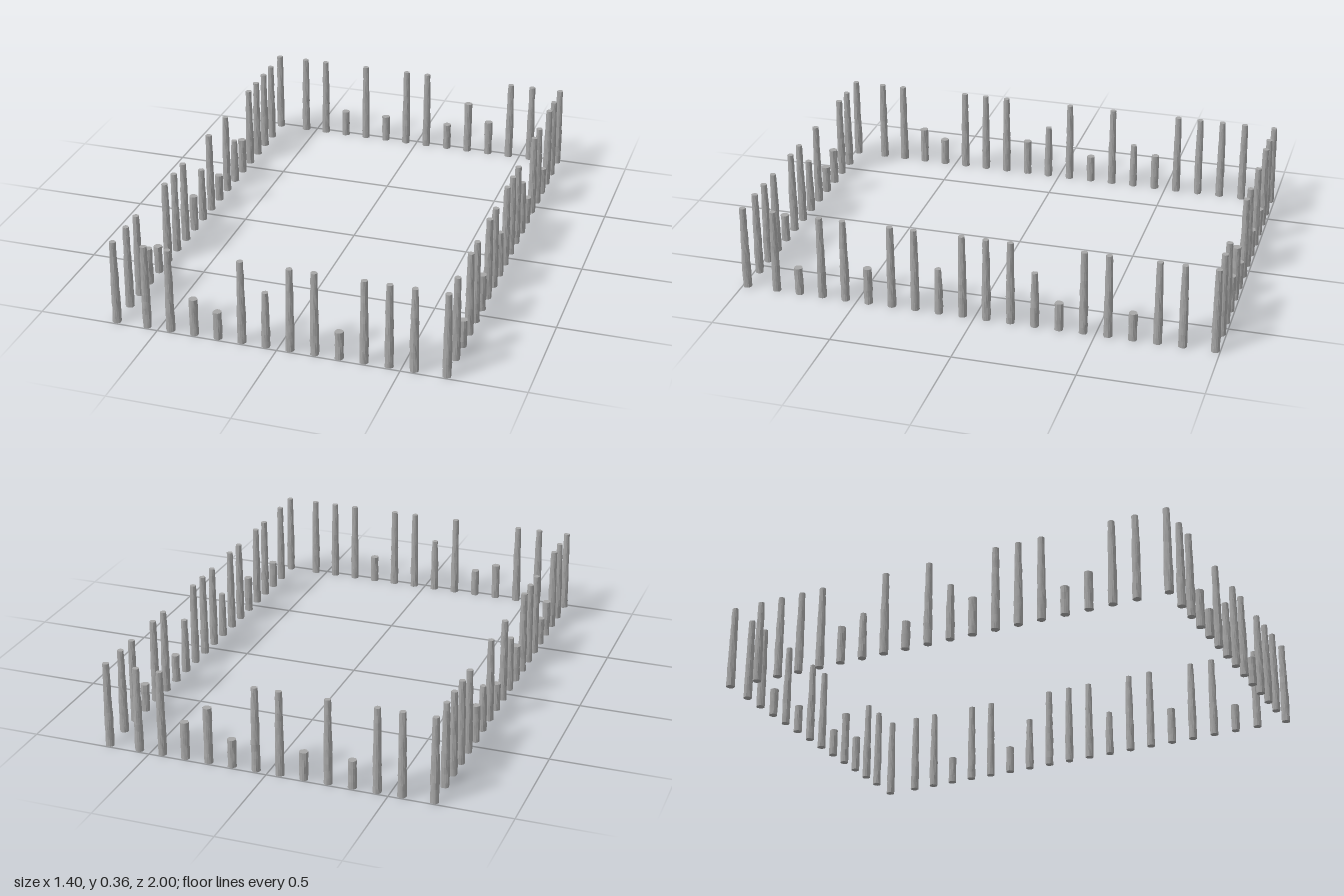
import * as THREE from 'three';

const R = 0.0185;          // stake radius
const TALL = 0.36;
const HALF_X = 0.68, HALF_Z = 0.98;
const SIDES = 14;

// Repeatable noise from 0 to 1
function noise(a, b, c) {
  const s = Math.sin(a * 12.9898 + b * 78.233 + c * 37.719) * 43758.5453;
  return s - Math.floor(s);
}

// Closed stake with rough bark; whole stakes narrow towards the top, cut ones stay straight
function stakeGeometry(height, tapered, seed) {
  const top = tapered ? 0.0138 : R;
  const rings = Math.max(4, Math.round(height / 0.03));
  const profile = [new THREE.Vector2(0, 0)];
  for (let i = 0; i <= rings; i++) {
    const t = i / rings;
    const r = THREE.MathUtils.lerp(R, top, Math.max(0, (t - 0.3) / 0.7));
    profile.push(new THREE.Vector2(r, t * height));
  }
  profile.push(new THREE.Vector2(0, height));
  const geometry = new THREE.LatheGeometry(profile, SIDES);

  // Bark: shallow grooves pushed in along the sides
  const p = geometry.attributes.position;
  const count = profile.length;
  for (let i = 0; i < p.count; i++) {
    const ring = i % count, side = Math.floor(i / count) % SIDES;
    const groove = 1.03 - 0.17 * noise(ring, side, seed);
    p.setX(i, p.getX(i) * groove);
    p.setZ(i, p.getZ(i) * groove);
  }
  geometry.computeVertexNormals();
  return geometry;
}

// Evenly spaced stake positions between two corner stakes
function spots(half, inner) {
  const list = [-half];
  for (let v = -inner; v < inner + 0.01; v += 0.1) list.push(v);
  list.push(half);
  return list;
}

export function createModel() {
  const model = new THREE.Group();
  const material = new THREE.MeshStandardMaterial({ color: 0xa6a6a6, flatShading: true });

  // Broken stakes by position in hundredths: straight stumps and shorter tapered stakes
  const rows = [
    { name: 'frontRow', z: HALF_Z, stumps: { '-35': 0.16, '-25': 0.12, 25: 0.12 }, short: { '-5': 0.24 } },
    { name: 'backRow', z: -HALF_Z, stumps: { '-35': 0.12, '-15': 0.12, 15: 0.12, 25: 0.24, 35: 0.16 }, short: {} },
    { name: 'leftRow', x: HALF_X, stumps: { '-65': 0.12, '-35': 0.12, 45: 0.16, 75: 0.12 }, short: { '-25': 0.24, 15: 0.2 } },
    { name: 'rightRow', x: -HALF_X, stumps: { '-45': 0.16, '-15': 0.12, 15: 0.16, 55: 0.12, 65: 0.16 }, short: { '-35': 0.2, 5: 0.24 } },
  ];

  rows.forEach((row, rowIndex) => {
    const group = new THREE.Group();
    group.name = row.name;
    const alongX = row.z !== undefined;
    // Corner stakes belong to the front and back rows
    const list = alongX ? spots(HALF_X, 0.55) : spots(HALF_Z, 0.85).slice(1, -1);
    list.forEach((v, i) => {
      const key = Math.round(v * 100);
      const stump = row.stumps[key];
      const height = stump ?? row.short[key] ?? TALL;
      const geometry = stakeGeometry(height, stump === undefined, rowIndex * 20 + i);
      const stake = new THREE.Mesh(geometry, material);
      stake.name = stump === undefined ? 'stake' : 'stump';
      stake.position.set(alongX ? v : row.x, 0, alongX ? row.z : v);
      group.add(stake);
    });
    model.add(group);
  });
  return model;
}
